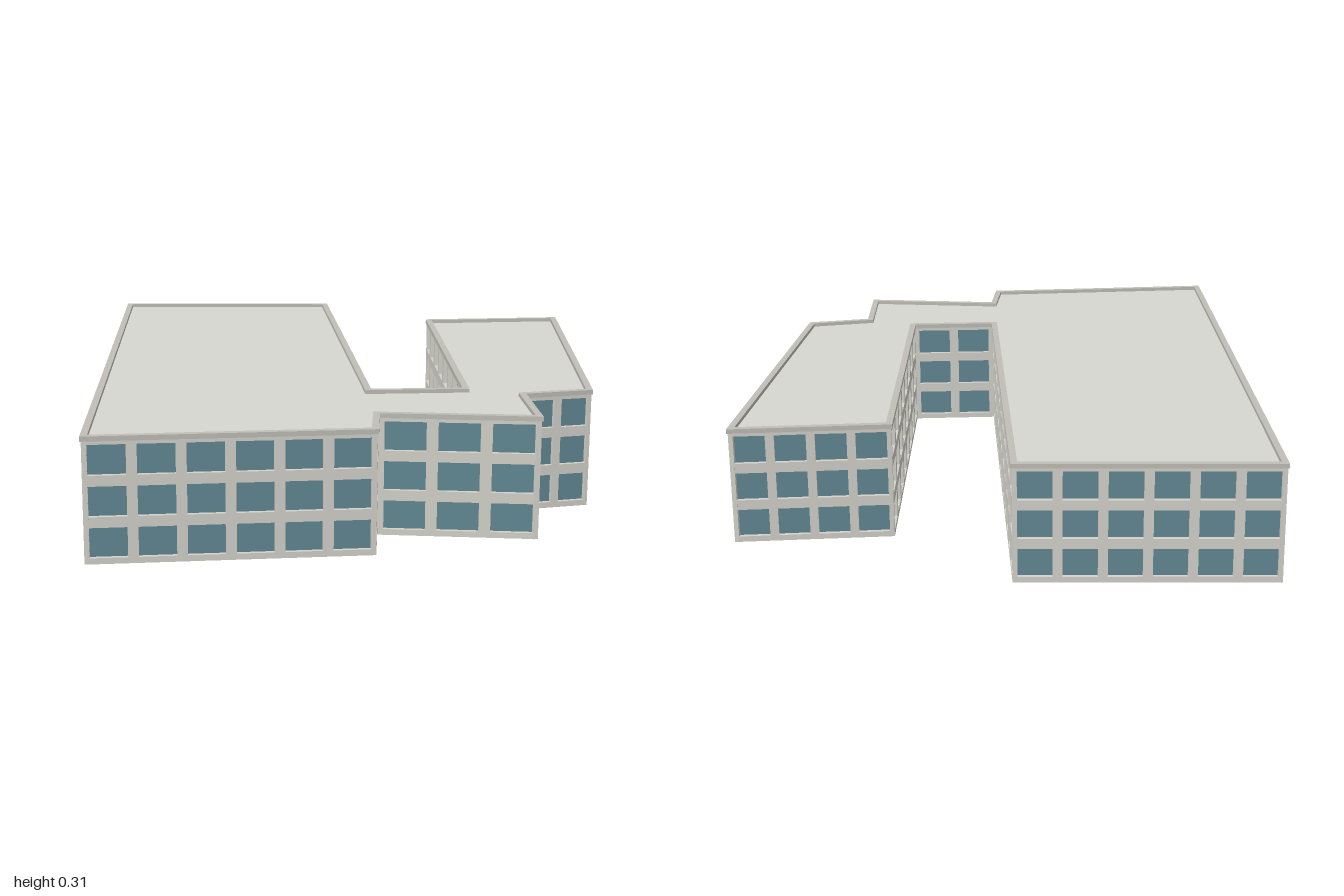
import * as THREE from 'three';

const mat = (name, color, side = THREE.FrontSide) => {
  const m = new THREE.MeshStandardMaterial({ color, side });
  m.name = name;
  return m;
};

// Footprint corners as (x, -z), counter-clockwise seen from above
const FOOTPRINT = [
  [-0.972, 0.115], [0.4, -0.994], [0.799, -0.43], [0.688, -0.32], [0.973, -0.047], [0.784, 0.107],
  [0.869, 0.27], [0.135, 0.996], [-0.107, 0.66], [0.635, 0.037], [0.487, -0.157], [-0.535, 0.614],
].map(([x, y]) => new THREE.Vector2(x, y));

const WALL = 0.012, WALL_TOP = 0.3, TOP = 0.311, BAY = 0.117, FLOORS = 3, STOREY = 0.1005;

// Mitred offset of the footprint, positive outwards
function offset(pts, d) {
  const n = pts.length;
  const normal = (a, b) => new THREE.Vector2(b.y - a.y, a.x - b.x).normalize();
  return pts.map((p, i) => {
    const n1 = normal(pts[(i + n - 1) % n], p);
    const n2 = normal(p, pts[(i + 1) % n]);
    return n1.clone().add(n2).multiplyScalar(d / (1 + n1.dot(n2))).add(p);
  });
}

// Flat outline raised from y0 to y1
function raise(shape, y0, y1) {
  const geo = new THREE.ExtrudeGeometry(shape, { depth: y1 - y0, bevelEnabled: false });
  return geo.rotateX(-Math.PI / 2).translate(0, y0, 0);
}

function rect(x0, y0, x1, y1) {
  return [[x0, y0], [x1, y0], [x1, y1], [x0, y1]].map(([x, y]) => new THREE.Vector2(x, y));
}

// One facade: a concrete grid with a recessed pane for each bay and floor
function facade(a, b, concrete, glass) {
  const length = a.distanceTo(b);
  const bays = Math.max(1, Math.round(length / BAY));
  const pitch = length / bays;
  const wall = new THREE.Shape(rect(0, 0, length, WALL_TOP));
  const panes = [];
  for (let f = 0; f < FLOORS; f++) {
    for (let i = 0; i < bays; i++) {
      const opening = rect((i + 0.11) * pitch, f * STOREY + 0.015, (i + 0.89) * pitch, f * STOREY + 0.089);
      panes.push(new THREE.Shape(opening));
      wall.holes.push(new THREE.Path([...opening].reverse()));
    }
  }
  const frame = new THREE.Mesh(new THREE.ExtrudeGeometry(wall, { depth: WALL, bevelEnabled: false }), concrete);
  frame.position.z = -WALL;
  frame.name = 'wallGrid';
  const windows = new THREE.Mesh(new THREE.ShapeGeometry(panes), glass);
  windows.position.z = 0.001 - WALL;
  windows.name = 'windows';
  const group = new THREE.Group().add(frame, windows);
  group.position.set(a.x, 0, -a.y);
  group.rotation.y = Math.atan2(b.y - a.y, b.x - a.x);
  return group;
}

export function createModel() {
  const concrete = mat('concrete', 0xd4d2ca);
  const glass = mat('glass', 0x628894, THREE.DoubleSide);
  const roofGrey = mat('roof grey', 0xd6d7d0);
  const copingGrey = mat('coping grey', 0xc0beb6);
  const group = new THREE.Group();
  group.name = 'building';
  const add = (name, part) => {
    part.name = name;
    group.add(part);
  };

  // Facades along every edge; the hollow shell is open underneath
  FOOTPRINT.forEach((p, i) => {
    add(`facade${i + 1}`, facade(p, FOOTPRINT[(i + 1) % FOOTPRINT.length], concrete, glass));
  });

  // Roof slab inside the walls
  const slab = new THREE.Shape(offset(FOOTPRINT, -WALL + 0.001));
  add('roof', new THREE.Mesh(raise(slab, 0.294, WALL_TOP + 0.001), roofGrey));

  // Coping around the roof edge
  const rim = new THREE.Shape(offset(FOOTPRINT, 0.003));
  rim.holes.push(new THREE.Path(offset(FOOTPRINT, -0.014).reverse()));
  add('roofCoping', new THREE.Mesh(raise(rim, WALL_TOP - 0.001, TOP), copingGrey));

  return group;
}
